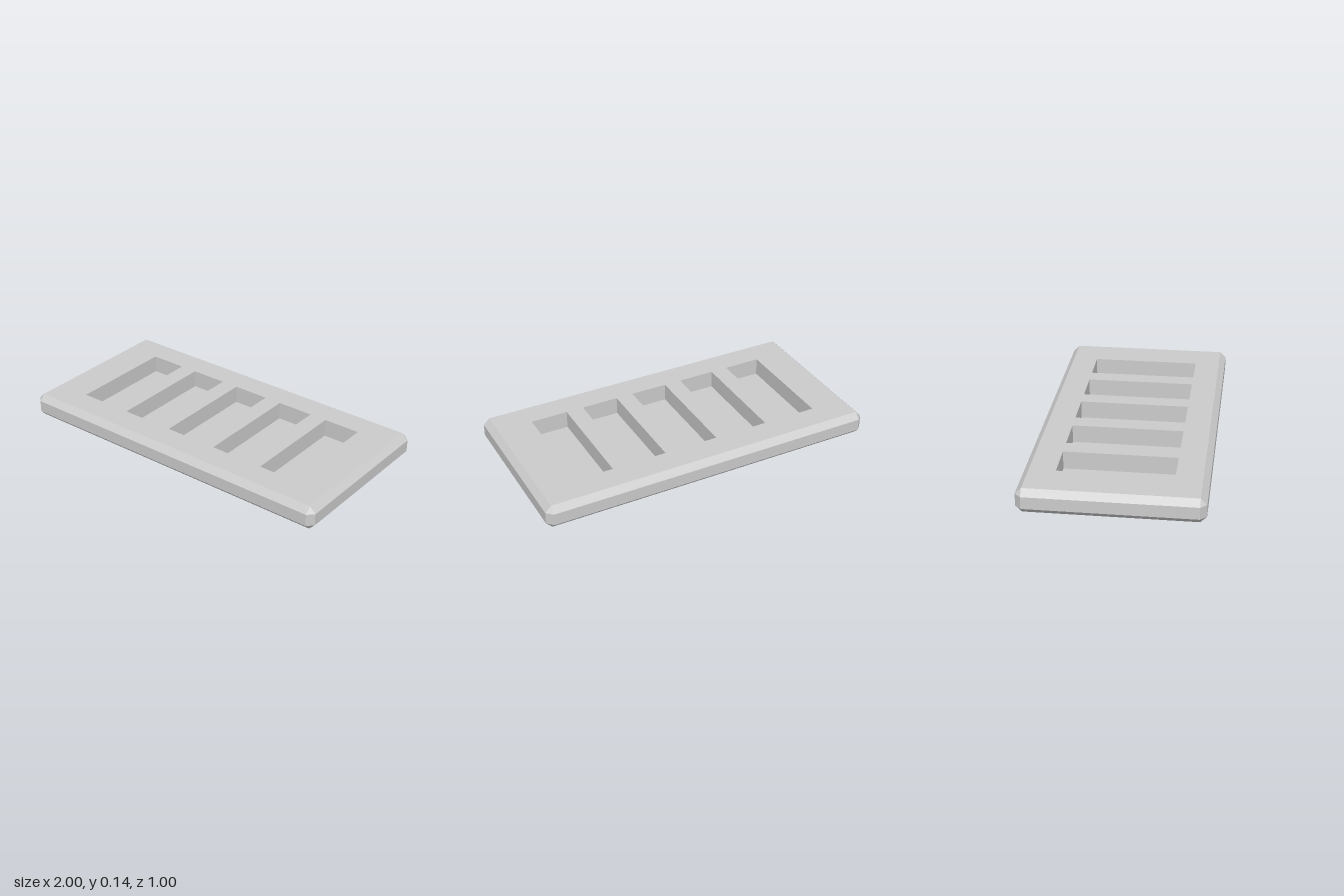
import * as THREE from 'three';

const HX = 1, HZ = 0.5, H = 0.14, C = 0.035;      // half sizes, height, chamfer
const SLOT = { w: 0.22, l: 0.636, depth: 0.105, pitch: 0.324, count: 5 };

// Eight-point outline; `out` is how far the sides stand out past the top rectangle
function ring(y, out) {
  const x = HX - C, z = HZ - C, pts = [];
  for (const [sx, sz] of [[1, 1], [-1, 1], [-1, -1], [1, -1]]) {
    const side = new THREE.Vector3(sx * (x + out), y, sz * z);
    const end = new THREE.Vector3(sx * x, y, sz * (z + out));
    pts.push(...(sx * sz > 0 ? [side, end] : [end, side]));
  }
  return pts;
}

// Flat-shaded skin between the stacked outlines
function loft(rings) {
  const pos = [];
  const tri = (a, b, c) => {
    if (new THREE.Triangle(a, b, c).getArea() > 1e-8) pos.push(...a, ...b, ...c);
  };
  for (let r = 0; r < rings.length - 1; r++) {
    const lo = rings[r], up = rings[r + 1];
    for (let i = 0; i < 8; i++) {
      const j = (i + 1) % 8;
      tri(lo[i], up[i], lo[j]);
      tri(lo[j], up[i], up[j]);
    }
  }
  const g = new THREE.BufferGeometry();
  g.setAttribute('position', new THREE.Float32BufferAttribute(pos, 3));
  g.computeVertexNormals();
  return g;
}

// Box without its top, turned to face inward
function pocketGeometry(w, h, l) {
  const g = new THREE.BoxGeometry(w, h, l).toNonIndexed();
  const p = g.attributes.position, pos = [];
  for (let i = 0; i < p.count; i += 3) {
    if (i >= 12 && i < 18) continue; // top face
    for (const k of [i, i + 2, i + 1]) pos.push(p.getX(k), p.getY(k), p.getZ(k));
  }
  const out = new THREE.BufferGeometry();
  out.setAttribute('position', new THREE.Float32BufferAttribute(pos, 3));
  out.computeVertexNormals();
  return out;
}

function rectangle(PathType, cx, w, h) {
  return new PathType([[-1, -1], [1, -1], [1, 1], [-1, 1]]
    .map(([sx, sy]) => new THREE.Vector2(cx + sx * w / 2, sy * h / 2)));
}

export function createModel() {
  const model = new THREE.Group();
  model.name = 'slottedSlab';
  const material = new THREE.MeshStandardMaterial({ color: 0xcccccc, flatShading: true });
  const add = (name, geometry) => {
    const mesh = new THREE.Mesh(geometry, material);
    mesh.name = name;
    model.add(mesh);
    return mesh;
  };

  // Chamfered rim
  add('chamferedSides', loft([ring(0, 0), ring(C, C), ring(H - C, C), ring(H, 0)]));

  // Underside
  add('underside', new THREE.PlaneGeometry(2 * (HX - C), 2 * (HZ - C)).rotateX(Math.PI / 2));

  // Top plate with slot openings, and a pocket below each
  const top = rectangle(THREE.Shape, 0, 2 * (HX - C), 2 * (HZ - C));
  const pocket = pocketGeometry(SLOT.w, SLOT.depth, SLOT.l);
  for (let i = 0; i < SLOT.count; i++) {
    const x = (i - (SLOT.count - 1) / 2) * SLOT.pitch;
    top.holes.push(rectangle(THREE.Path, x, SLOT.w, SLOT.l));
    add(`slotPocket${i + 1}`, pocket).position.set(x, H - SLOT.depth / 2, 0);
  }
  add('topPlate', new THREE.ShapeGeometry(top).rotateX(-Math.PI / 2).translate(0, H, 0));

  return model;
}
